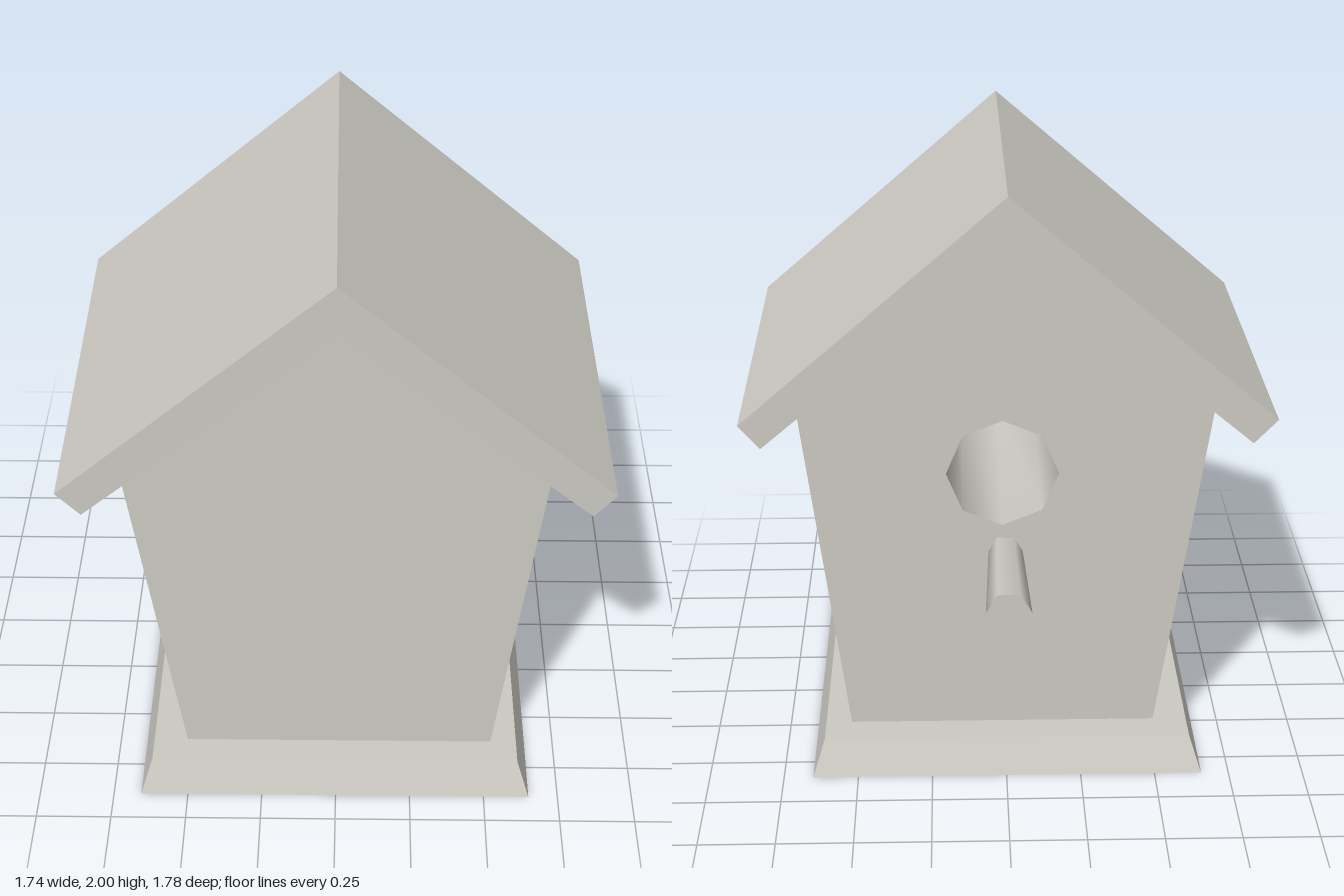
import * as THREE from 'three';
import { toCreasedNormals } from 'three/addons/utils/BufferGeometryUtils.js';

export function createModel() {
  const model = new THREE.Group();
  model.name = 'birdhouse';
  const wood = new THREE.MeshStandardMaterial({ color: 0xcccac2 });
  wood.name = 'pale grey wood';

  const add = (name, geometry) => {
    const mesh = new THREE.Mesh(geometry, wood);
    mesh.name = name;
    model.add(mesh);
    return mesh;
  };
  const outline = (points) => new THREE.Shape(points.map(([x, y]) => new THREE.Vector2(x, y)));
  const slab = (shape, z0, z1) =>
    new THREE.ExtrudeGeometry(shape, { depth: z1 - z0, bevelEnabled: false }).translate(0, 0, z0);

  // Base: a board with sloped edges
  const base = new THREE.BoxGeometry(1.31, 0.12, 1.49);
  const p = base.attributes.position;
  for (let i = 0; i < p.count; i++) {
    if (p.getY(i) > 0) {
      p.setX(i, p.getX(i) - Math.sign(p.getX(i)) * 0.04);
      p.setZ(i, p.getZ(i) - Math.sign(p.getZ(i)) * 0.045);
    }
  }
  base.translate(-0.003, 0.06, 0.145);
  base.computeVertexNormals();
  add('base', base);

  // House: flared five-sided walls, with an octagonal entrance bored in from the back
  const wall = [[-0.505, 0.12], [0.525, 0.12], [0.677, 1.275], [0.007, 1.845], [-0.68, 1.275]];
  const bored = outline(wall);
  const rim = [];
  for (let i = 0; i < 8; i++) {
    const a = (-i * Math.PI) / 4;
    rim.push(new THREE.Vector2(0.01 + 0.185 * Math.cos(a), 1.04 + 0.185 * Math.sin(a)));
  }
  bored.holes.push(new THREE.Path(rim));
  add('houseWithEntrance', toCreasedNormals(slab(bored, -0.44, 0.67), 0.9));
  add('frontWall', slab(outline(wall), 0.67, 0.75));

  // Roof: two joined boards, turned very slightly
  const roof = slab(outline([
    [0, 2], [-0.867, 1.255], [-0.79, 1.175], [0.006, 1.84], [0.79, 1.175], [0.86, 1.255],
  ]), -0.698, 0.698);
  const roofMesh = add('roof', roof);
  roofMesh.position.z = 0.165;
  roofMesh.rotation.y = 0.007;

  // Perch: six-sided peg, thicker at its free end
  const perch = new THREE.CylinderGeometry(0.056, 0.073, 0.47, 6);
  perch.rotateY(Math.PI / 2).rotateX(Math.PI / 2);
  perch.translate(0, 0.76, -0.655);
  add('perch', perch);

  return model;
}
